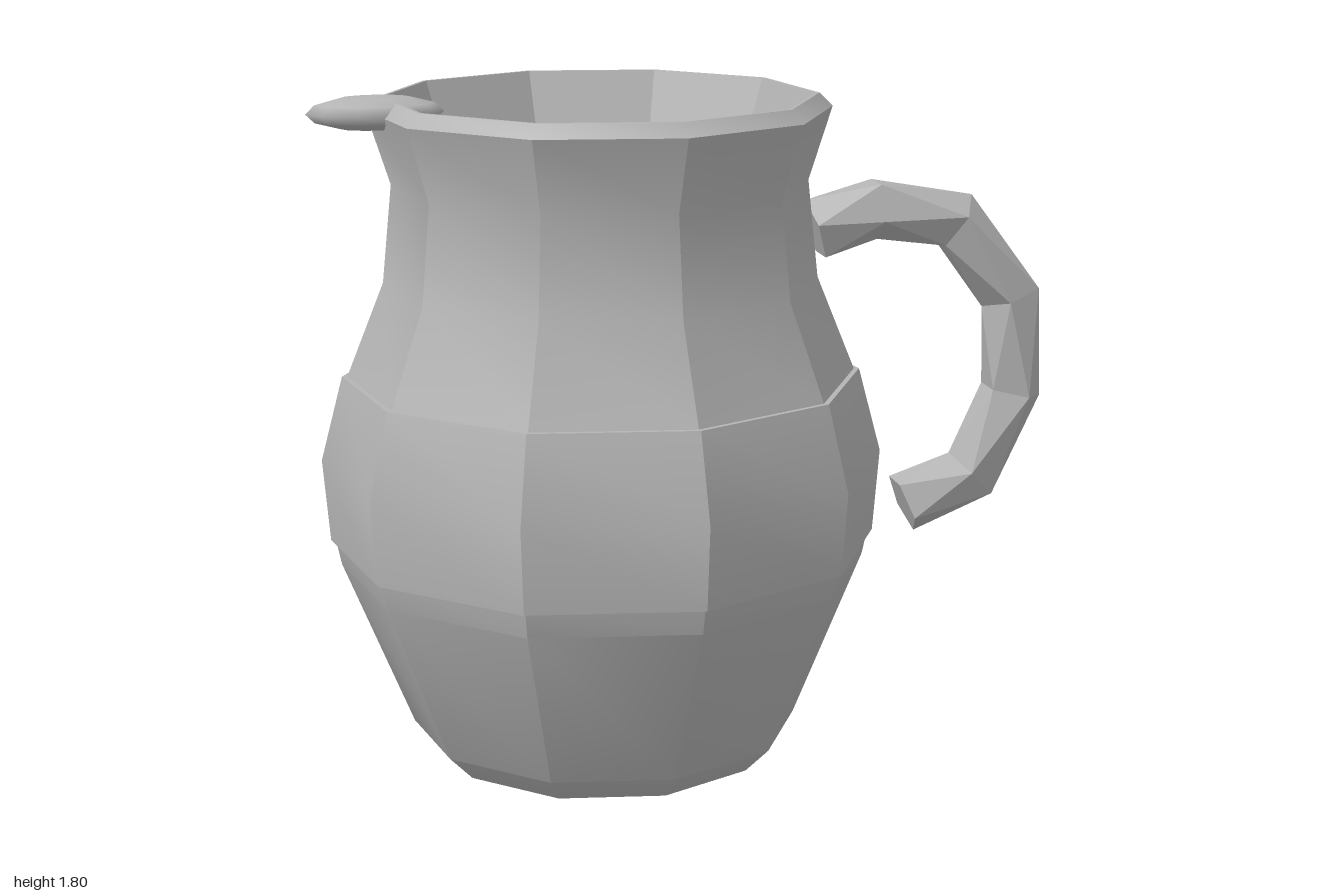
import * as THREE from 'three';
import { toCreasedNormals } from 'three/addons/utils/BufferGeometryUtils.js';

const SIDES = 10;
const AXIS_X = -0.235; // the pot sits off-centre to make room for the handle

// Ten-sided turned section; profile is [radius, height], bottom to top
function turned(name, profile, material, crease) {
  const points = profile.map(([r, y]) => new THREE.Vector2(r, y));
  const start = THREE.MathUtils.degToRad(9.4);
  const geometry = new THREE.LatheGeometry(points, SIDES, start, Math.PI * 2);
  const mesh = new THREE.Mesh(toCreasedNormals(geometry, crease), material);
  mesh.name = name;
  mesh.position.x = AXIS_X;
  return mesh;
}

// Faceted tube in the xy plane; every ring turns half a step, giving diamond facets
function twistedTube(path, radius, sides) {
  const centres = path.map(([x, y]) => new THREE.Vector3(x, y, 0));
  const last = centres.length - 1;
  const positions = [];
  const index = [];
  centres.forEach((c, i) => {
    const t = centres[Math.min(i + 1, last)].clone().sub(centres[Math.max(i - 1, 0)]).normalize();
    const outward = new THREE.Vector3(-t.y, t.x, 0);
    for (let j = 0; j < sides; j++) {
      const a = ((j + i / 2) / sides) * Math.PI * 2;
      const p = c.clone().addScaledVector(outward, Math.cos(a) * radius);
      positions.push(p.x, p.y, Math.sin(a) * radius);
    }
  });
  for (let i = 0; i < last; i++) {
    for (let j = 0; j < sides; j++) {
      const k = (j + 1) % sides;
      const a = i * sides + j, b = i * sides + k;
      const c = a + sides, d = b + sides;
      index.push(a, b, c, b, d, c);
    }
  }
  // End caps
  for (let j = 1; j < sides - 1; j++) {
    const e = last * sides;
    index.push(0, j + 1, j, e, e + j, e + j + 1);
  }
  const geometry = new THREE.BufferGeometry();
  geometry.setAttribute('position', new THREE.Float32BufferAttribute(positions, 3));
  geometry.setIndex(index);
  const flat = geometry.toNonIndexed();
  flat.computeVertexNormals();
  return flat;
}

export function createModel() {
  const group = new THREE.Group();
  group.name = 'jug';
  const clay = new THREE.MeshStandardMaterial({ color: 0xb4b4b4, side: THREE.DoubleSide });
  clay.name = 'grey clay';

  // Lower bowl with its base
  group.add(turned('lowerBody', [
    [0, 0], [0.45, 0], [0.52, 0.07], [0.705, 0.52], [0.722, 0.6],
  ], clay, 0.6));

  // Raised belly band
  group.add(turned('bellyBand', [
    [0.715, 0.588], [0.732, 0.588], [0.75, 0.81], [0.69, 1.038], [0.67, 1.038],
  ], clay, 0.56));

  // Neck, rim and the shallow inner floor
  group.add(turned('neckAndRim', [
    [0.682, 1.02], [0.675, 1.04], [0.575, 1.29], [0.548, 1.55], [0.61, 1.745],
    [0.575, 1.78], [0.565, 1.78], [0.49, 1.56], [0, 1.56],
  ], clay, 0.56));

  // Curved handle
  const handle = new THREE.Mesh(twistedTube([
    [0.345, 1.4], [0.52, 1.455], [0.74, 1.41], [0.905, 1.2],
    [0.915, 0.93], [0.8, 0.7], [0.61, 0.625],
  ], 0.086, 5), clay);
  handle.name = 'handle';
  group.add(handle);

  // Flattened pouring lip resting on the rim
  const lip = new THREE.Mesh(new THREE.SphereGeometry(1, 10, 6), clay);
  lip.name = 'pouringLip';
  lip.scale.set(0.178, 0.046, 0.098);
  lip.position.set(-0.822, 1.75, 0);
  group.add(lip);

  return group;
}
